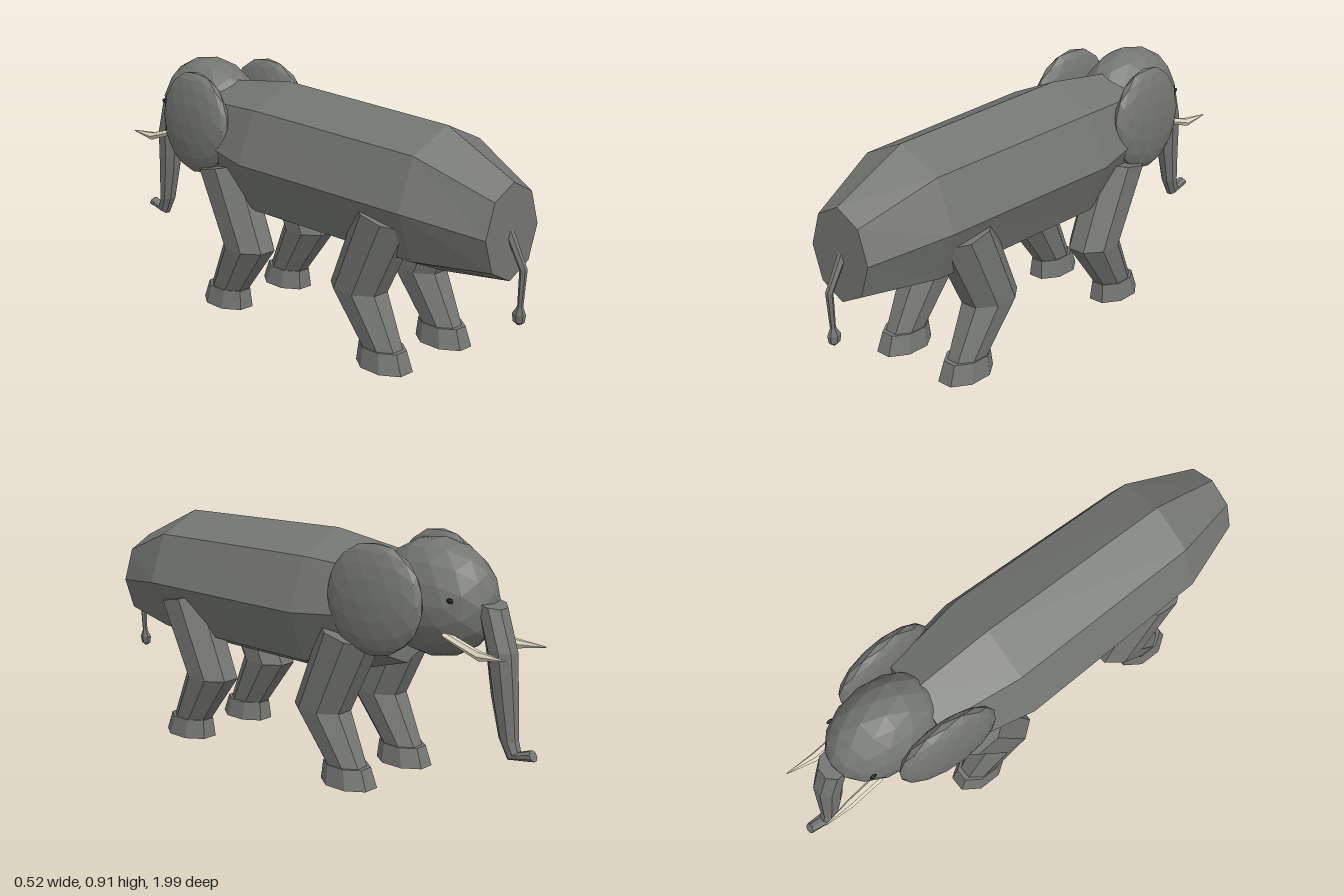
import * as THREE from 'three';

const hide = new THREE.MeshStandardMaterial({ color: 0x747672 });
hide.name = 'greyHide';
const ivory = new THREE.MeshStandardMaterial({ color: 0xe2dac4 });
ivory.name = 'ivory';
const dark = new THREE.MeshStandardMaterial({ color: 0x222222 });
dark.name = 'eyeDark';

// Faceted, capped loft through rings [x, y, z, rx, r, tilt in degrees].
// Tilt 0 is a horizontal ring, 90 an upright one.
function loft(rings, sides, phase = 0) {
  const pts = rings.map(([x, y, z, rx, r, tilt]) => {
    const a = THREE.MathUtils.degToRad(tilt);
    return Array.from({ length: sides }, (_, j) => {
      const t = ((j + phase) / sides) * Math.PI * 2;
      const q = r * Math.sin(t);
      return [x + rx * Math.cos(t), y + q * Math.sin(a), z + q * Math.cos(a)];
    });
  });
  const pos = [];
  const tri = (...corners) => corners.forEach((p) => pos.push(...p));
  const last = rings.length - 1;
  for (let j = 0; j < sides; j++) {
    const k = (j + 1) % sides;
    for (let i = 0; i < last; i++) {
      tri(pts[i][j], pts[i + 1][j], pts[i][k]);
      tri(pts[i][k], pts[i + 1][j], pts[i + 1][k]);
    }
    tri(rings[0].slice(0, 3), pts[0][j], pts[0][k]);
    tri(rings[last].slice(0, 3), pts[last][k], pts[last][j]);
  }
  const geo = new THREE.BufferGeometry();
  geo.setAttribute('position', new THREE.Float32BufferAttribute(pos, 3));
  geo.computeVertexNormals();
  return geo;
}

// Faceted ellipsoid
function blob(rx, ry, rz, detail) {
  const geo = new THREE.IcosahedronGeometry(1, detail).scale(rx, ry, rz);
  geo.computeVertexNormals();
  return geo;
}

export function createModel() {
  const model = new THREE.Group();
  model.name = 'elephant';
  const add = (name, geo, mat, x = 0, y = 0, z = 0) => {
    const mesh = new THREE.Mesh(geo, mat);
    mesh.name = name;
    mesh.position.set(x, y, z);
    model.add(mesh);
    return mesh;
  };

  // Eight-sided barrel body, from rump to chest
  add('body', loft([
    [0, 0.556, 0.93, 0.135, 0.17, 90],
    [0, 0.603, 0.645, 0.238, 0.258, 90],
    [0, 0.614, -0.12, 0.26, 0.27, 90],
    [0, 0.64, -0.445, 0.195, 0.2, 90],
  ], 8), hide);

  add('head', blob(0.158, 0.208, 0.235, 2), hide, 0, 0.702, -0.578);

  // Trunk, curling forward at the tip
  add('trunk', loft([
    [0, 0.715, -0.8, 0.058, 0.055, 195],
    [0, 0.565, -0.845, 0.055, 0.056, 188],
    [0, 0.4, -0.864, 0.042, 0.049, 184],
    [0, 0.26, -0.886, 0.032, 0.036, 184],
    [0, 0.208, -0.91, 0.026, 0.028, 140],
    [0, 0.224, -0.985, 0.02, 0.021, 60],
  ], 8, 0.5), hide);

  // Tail with a small tuft
  add('tail', loft([
    [0, 0.555, 0.92, 0.017, 0.018, 240],
    [0, 0.44, 0.983, 0.013, 0.014, 190],
    [0, 0.3, 0.977, 0.009, 0.01, 180],
  ], 6), hide);
  add('tailTuft', loft([
    [0, 0.312, 0.977, 0.008, 0.01, 180],
    [0, 0.282, 0.974, 0.017, 0.026, 180],
    [0, 0.255, 0.974, 0.014, 0.022, 180],
    [0, 0.245, 0.974, 0.004, 0.006, 180],
  ], 6), hide);

  for (const s of [1, -1]) {
    const side = s > 0 ? 'left' : 'right';

    // Ear
    const ear = add(side + 'Ear', blob(0.055, 0.196, 0.2, 2), hide, s * 0.188, 0.702, -0.448);
    ear.rotation.y = s * 0.06;
    ear.rotation.z = s * 0.04;

    // Tusk
    add(side + 'Tusk', loft([
      [s * 0.105, 0.605, -0.69, 0.018, 0.018, 60],
      [s * 0.108, 0.56, -0.83, 0.016, 0.018, 80],
      [s * 0.118, 0.565, -0.94, 0.002, 0.002, 95],
    ], 6), ivory);

    // Eye
    add(side + 'Eye', blob(0.006, 0.009, 0.014, 1), dark, s * 0.126, 0.729, -0.72);

    // Legs: the front pair mirrors the hind pair
    for (const [pair, z0, f] of [['Hind', 0.395, 1], ['Front', -0.187, -1]]) {
      add(side + pair + 'Leg', loft([
        [s * 0.157, 0.06, z0 + f * 0.12, 0.062, 0.084, 0],
        [s * 0.157, 0.26, z0, 0.089, 0.115, 0],
        [s * 0.157, 0.555, z0 + f * 0.132, 0.095, 0.12, f * -12],
      ], 8, 0.5), hide);
      add(side + pair + 'Foot', loft([
        [s * 0.157, 0, z0 + f * 0.127, 0.08, 0.116, 0],
        [s * 0.157, 0.073, z0 + f * 0.118, 0.068, 0.098, 0],
      ], 8, 0.5), hide);
    }
  }
  return model;
}
